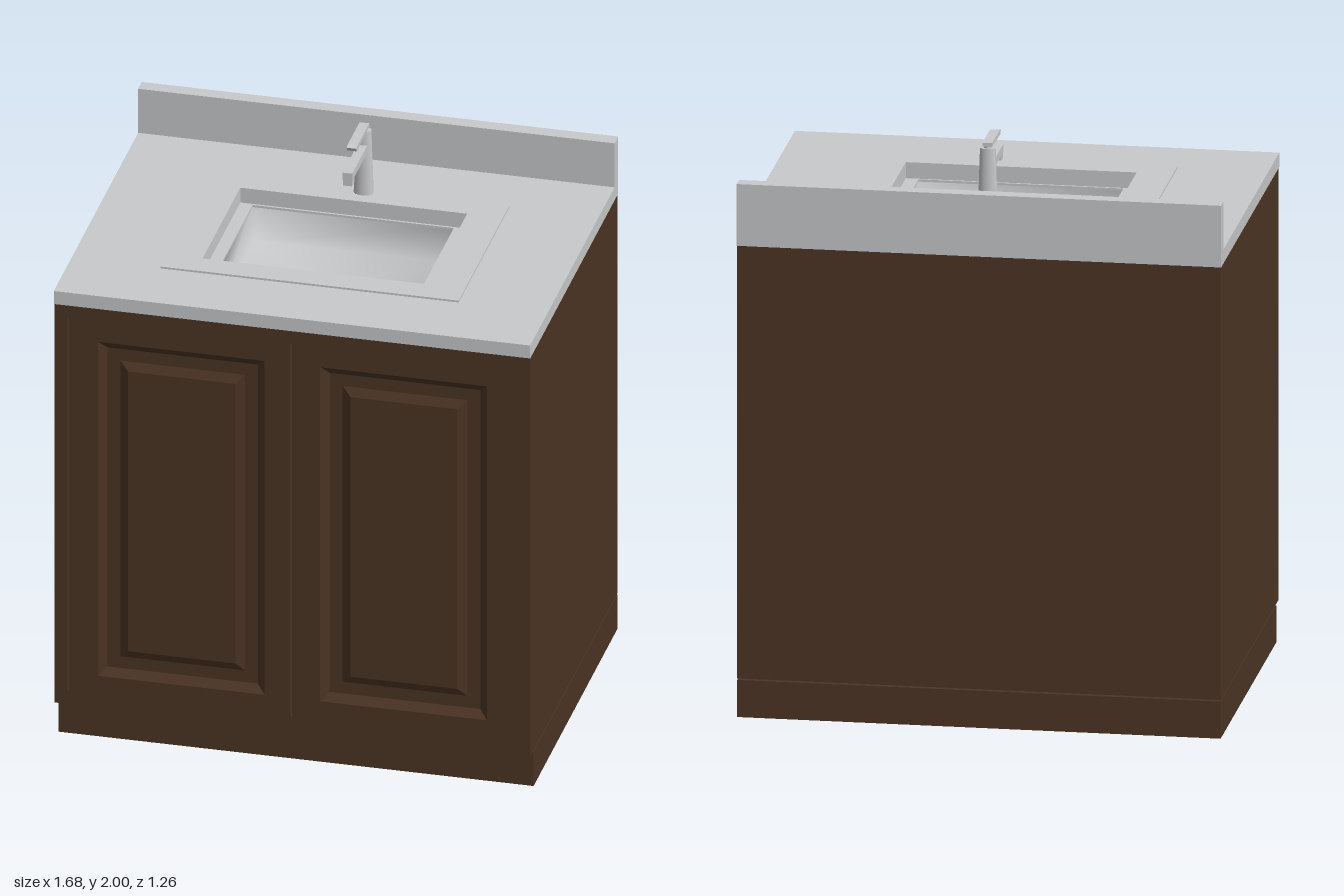
import * as THREE from 'three';

const wood = new THREE.MeshStandardMaterial({ color: 0x4b3423 });
wood.name = 'darkWood';
const stone = new THREE.MeshStandardMaterial({ color: 0xc8c9ca });
stone.name = 'paleGrey';

// Rectangle outline from its edges
function rect(Type, x0, x1, y0, y1) {
  const s = new Type();
  s.moveTo(x0, y0).lineTo(x1, y0).lineTo(x1, y1).lineTo(x0, y1).closePath();
  return s;
}

// Horizontal slab between two heights with a rectangular opening; edges are [x0, x1, z0, z1]
function slab(edges, hole, y0, y1) {
  const shape = rect(THREE.Shape, edges[0], edges[1], -edges[3], -edges[2]);
  shape.holes.push(rect(THREE.Path, hole[0], hole[1], -hole[3], -hole[2]));
  const g = new THREE.ExtrudeGeometry(shape, { depth: y1 - y0, bevelEnabled: false });
  return g.rotateX(-Math.PI / 2).translate(0, y0, 0);
}

function box(x0, x1, y0, y1, z0, z1) {
  return new THREE.BoxGeometry(x1 - x0, y1 - y0, z1 - z0)
    .translate((x0 + x1) / 2, (y0 + y1) / 2, (z0 + z1) / 2);
}

// Loops of four corners joined by quads, closed by a centre point
function loops(rings, centre) {
  const points = [...rings.flat(), centre];
  const index = [];
  rings.forEach((ring, r) => {
    for (let i = 0; i < 4; i++) {
      const a = r * 4 + i, b = r * 4 + (i + 1) % 4;
      if (r < rings.length - 1) index.push(a, b, b + 4, a, b + 4, a + 4);
      else index.push(a, b, points.length - 1);
    }
  });
  const g = new THREE.BufferGeometry();
  g.setAttribute('position', new THREE.Float32BufferAttribute(points.flat(), 3));
  g.setIndex(index);
  g.computeVertexNormals();
  return g;
}

export function createModel() {
  const group = new THREE.Group();
  const add = (name, geometry, material) => {
    const mesh = new THREE.Mesh(geometry, material);
    mesh.name = name;
    group.add(mesh);
    return mesh;
  };

  // Cabinet carcass and recessed plinth
  add('plinth', box(-0.838, 0.838, 0, 0.132, -0.628, 0.57), wood);
  add('carcass', slab([-0.838, 0.838, -0.628, 0.57], [-0.8, 0.8, -0.59, 0.56], 0.138, 1.68), wood);

  // Front with door gaps and panel openings
  const front = rect(THREE.Shape, -0.838, 0.838, 0.138, 1.68);
  for (const x of [-0.79, -0.004]) front.holes.push(rect(THREE.Path, x - 0.003, x + 0.003, 0.19, 1.63));
  const W = 0.294, H = 0.645, CY = 0.905;
  for (const x of [-0.392, 0.392]) front.holes.push(rect(THREE.Path, x - W, x + W, CY - H, CY + H));
  add('doorFront', new THREE.ExtrudeGeometry(front, { depth: 0.05, bevelEnabled: false })
    .translate(0, 0, 0.57), wood);

  // Raised door panels with bevelled steps: [inset, z]
  const steps = [[0, 0.62], [0.029, 0.598], [0.074, 0.598], [0.105, 0.614]];
  for (const [name, x] of [['rightDoorPanel', -0.392], ['leftDoorPanel', 0.392]]) {
    const rings = steps.map(([d, z]) => [[-1, -1], [1, -1], [1, 1], [-1, 1]]
      .map(([sx, sy]) => [x + sx * (W - d), CY + sy * (H - d), z]));
    const panel = loops(rings, [x, CY, 0.614]).toNonIndexed();
    panel.computeVertexNormals();
    add(name, panel, wood);
  }

  // Countertop, backsplash and thin sink surround
  const opening = [-0.4, 0.4, -0.255, 0.283];
  add('countertop', slab([-0.84, 0.84, -0.63, 0.626], opening, 1.68, 1.73), stone);
  add('backsplash', box(-0.84, 0.84, 1.73, 1.9, -0.63, -0.578), stone);
  add('sinkSurround', slab([-0.526, 0.526, -0.348, 0.376], opening, 1.73, 1.737), stone);

  // Basin flange and softly shaded bowl
  add('basinFlange', slab([-0.42, 0.42, -0.27, 0.3], [-0.355, 0.355, -0.247, 0.275], 1.672, 1.68), stone);
  const bowlRing = (x, z, y) => [[-x, y, 0.014 + z], [x, y, 0.014 + z], [x, y, 0.014 - z], [-x, y, 0.014 - z]];
  add('basin', loops([bowlRing(0.356, 0.262, 1.675), bowlRing(0.345, 0.25, 1.55)], [0, 1.525, 0.014]), stone);

  // Faucet: tapered body, spout with turned-down tip, lever handle
  const fx = 0.018;
  add('faucetBody', new THREE.CylinderGeometry(0.78, 1, 0.245, 24)
    .scale(0.035, 1, 0.024).translate(fx, 1.8575, -0.324), stone);
  add('faucetSpout', box(fx - 0.017, fx + 0.017, 1.9, 1.928, -0.324, -0.093), stone);
  add('faucetTip', box(fx - 0.016, fx + 0.016, 1.878, 1.902, -0.125, -0.094), stone);
  add('handleStem', new THREE.CylinderGeometry(0.014, 0.014, 0.012, 16).translate(fx, 1.984, -0.322), stone);
  const lever = rect(THREE.Shape, -0.335, -0.15, 1.986, 2);
  lever.curves.length = 0;
  lever.moveTo(-0.335, 1.986).lineTo(-0.156, 1.982).lineTo(-0.15, 1.995).lineTo(-0.17, 2).lineTo(-0.335, 2).closePath();
  add('handleLever', new THREE.ExtrudeGeometry(lever, { depth: 0.034, bevelEnabled: false })
    .rotateY(-Math.PI / 2).translate(fx + 0.017, 0, 0), stone);

  return group;
}
